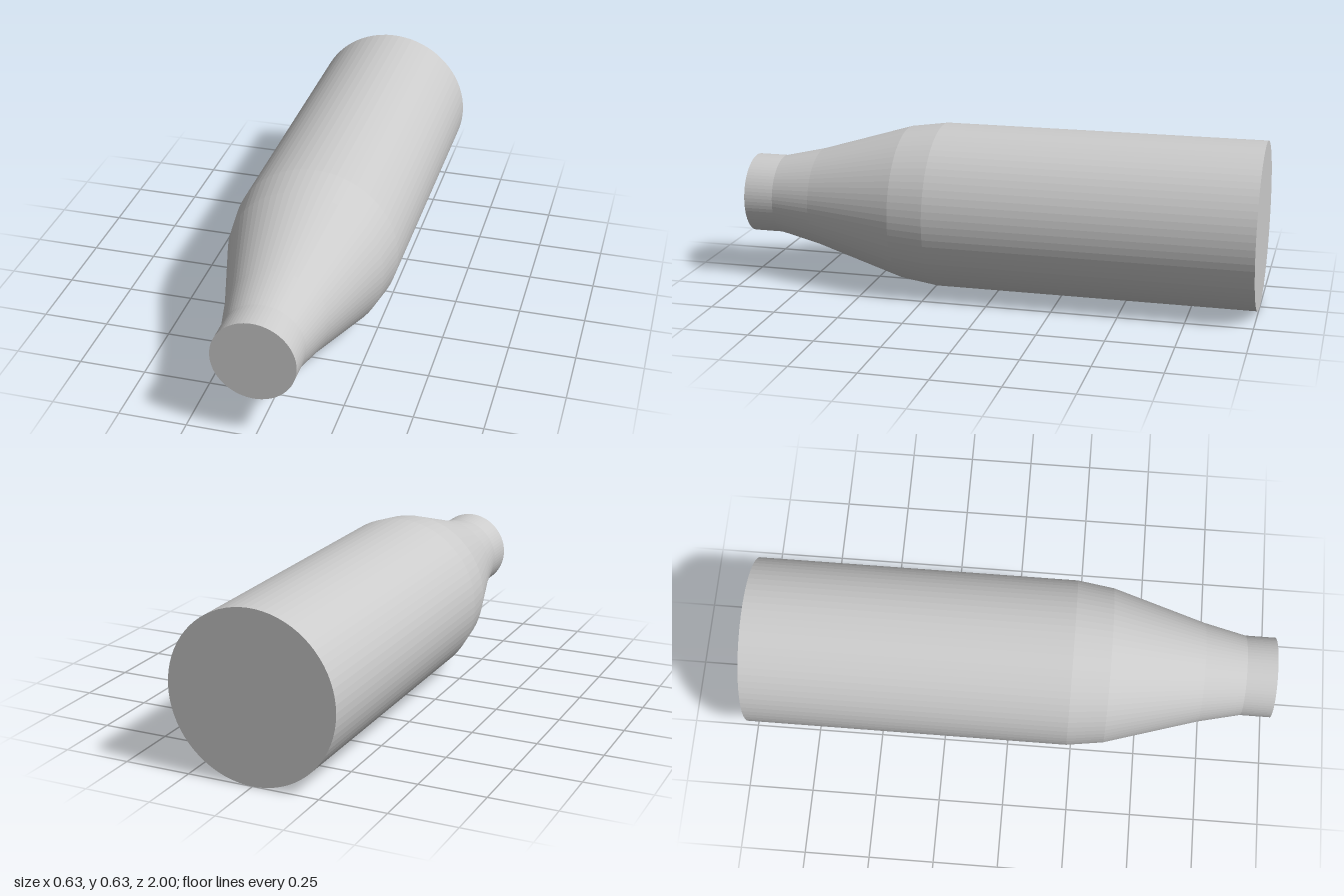
import * as THREE from 'three';

export function createModel() {
  const group = new THREE.Group();
  const radius = 0.317;

  // Profile as [radius, z], from the closed back to the closed neck
  const profile = [
    [0, -1], [radius, -1],          // back cap
    [radius, 0.23],                 // straight body
    [0.297, 0.37],                  // shoulder
    [0.19, 0.725], [0.153, 0.885],  // taper
    [0.153, 1], [0, 1],             // neck and front cap
  ].map(([r, z]) => new THREE.Vector2(r, z));

  // Lay the turned shape along z, resting on the ground
  const geometry = new THREE.LatheGeometry(profile, 72);
  geometry.rotateX(Math.PI / 2);
  geometry.translate(0, radius, 0);

  const body = new THREE.Mesh(
    geometry,
    new THREE.MeshStandardMaterial({ color: 0xcccccc, flatShading: true })
  );
  body.name = 'bottleBody';
  group.add(body);
  return group;
}
